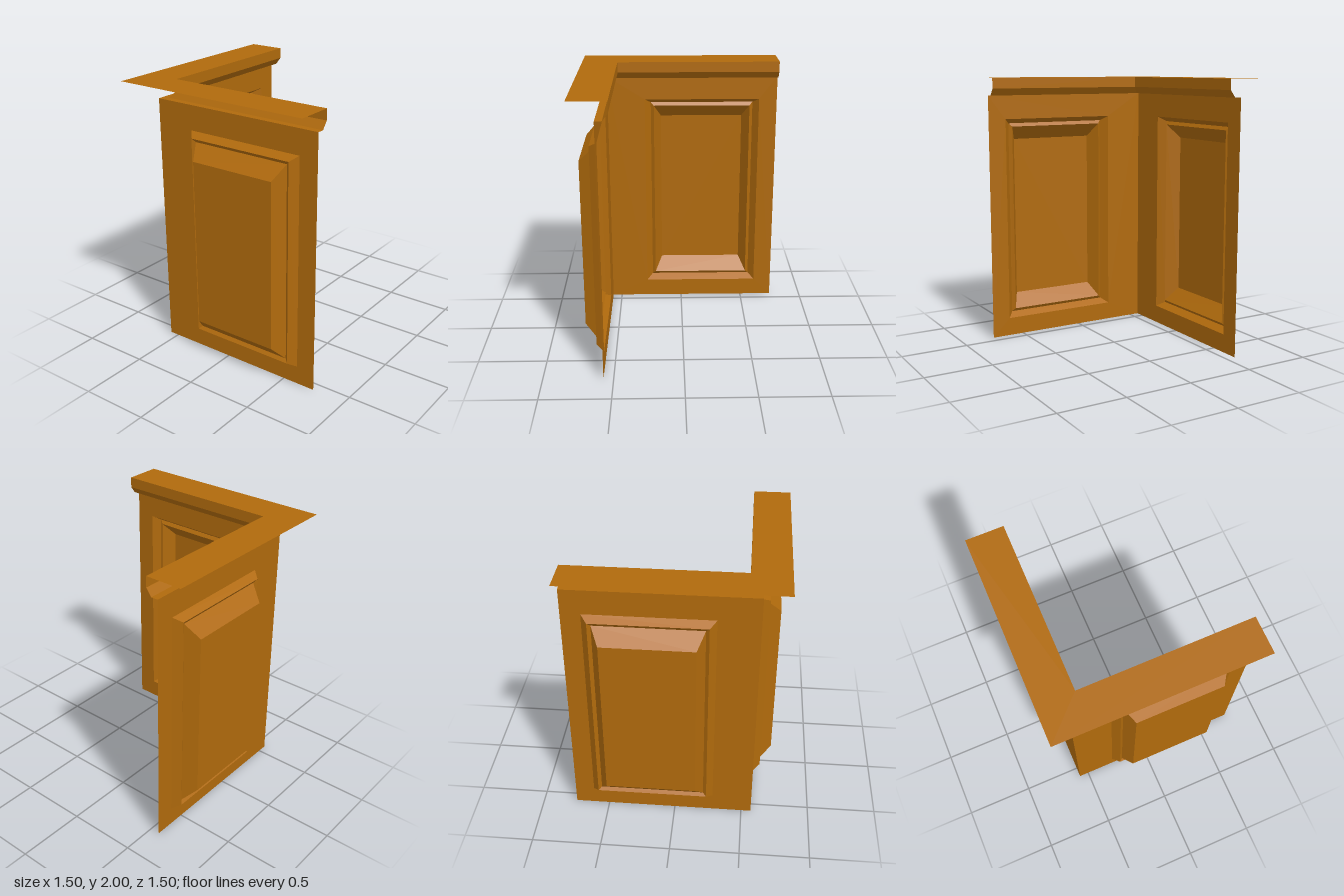
import * as THREE from 'three';

const material = new THREE.MeshStandardMaterial({
  color: 0xb06a0c, flatShading: true, side: THREE.DoubleSide,
});

// Skin between successive rows of points; closed rows wrap around, cap fills the last row
function loft(name, rows, { closed = false, cap = false, flip = false } = {}) {
  const n = rows[0].length;
  const index = [];
  const quad = (a, b, c, d) => index.push(...(flip ? [a, c, b, a, d, c] : [a, b, c, a, c, d]));
  for (let r = 0; r < rows.length - 1; r++) {
    for (let i = 0; i < (closed ? n : n - 1); i++) {
      const j = (i + 1) % n;
      quad(r * n + i, r * n + j, (r + 1) * n + j, (r + 1) * n + i);
    }
  }
  if (cap) {
    const k = (rows.length - 1) * n;
    quad(k, k + 1, k + 2, k + 3);
  }
  const indexed = new THREE.BufferGeometry();
  indexed.setAttribute('position', new THREE.Float32BufferAttribute(rows.flat(2), 3));
  indexed.setIndex(index);
  const geometry = indexed.toNonIndexed();
  geometry.computeVertexNormals();
  const mesh = new THREE.Mesh(geometry, material);
  mesh.name = name;
  return mesh;
}

// One wall with a raised panel; the side wall is the front wall mirrored across the corner
function makeWall(name, mirrored) {
  const rect = ([x0, x1, y0, y1, z]) =>
    [[x0, y0], [x1, y0], [x1, y1], [x0, y1]].map(([x, y]) => (mirrored ? [-z, y, -x] : [x, y, z]));

  const edge = rect([-0.572, 0.75, 0, 1.87, 0.572]);
  // opening, moulding ridge, groove, raised field
  const panel = [
    [-0.283, 0.612, 0.137, 1.69, 0.572],
    [-0.237, 0.566, 0.173, 1.655, 0.628],
    [-0.213, 0.542, 0.197, 1.63, 0.61],
    [-0.159, 0.487, 0.3, 1.527, 0.707],
  ].map(rect);

  const group = new THREE.Group();
  group.name = name;
  group.add(
    loft('wallFrame', [edge, panel[0]], { closed: true, flip: mirrored }),
    loft('raisedPanel', panel, { closed: true, cap: true, flip: mirrored }),
  );
  return group;
}

export function createModel() {
  const model = new THREE.Group();
  model.name = 'panelledCorner';
  model.add(makeWall('frontWall', false), makeWall('sideWall', true));

  // Cornice: ledge, sloped band, upright band and flat top, mitred around the corner
  const profile = [[0.572, 1.87], [0.522, 1.87], [0.482, 1.922], [0.482, 2], [0.75, 2]];
  model.add(loft('cornice', profile.map(([c, y]) => [[0.75, y, c], [-c, y, c], [-c, y, -0.75]])));
  return model;
}
